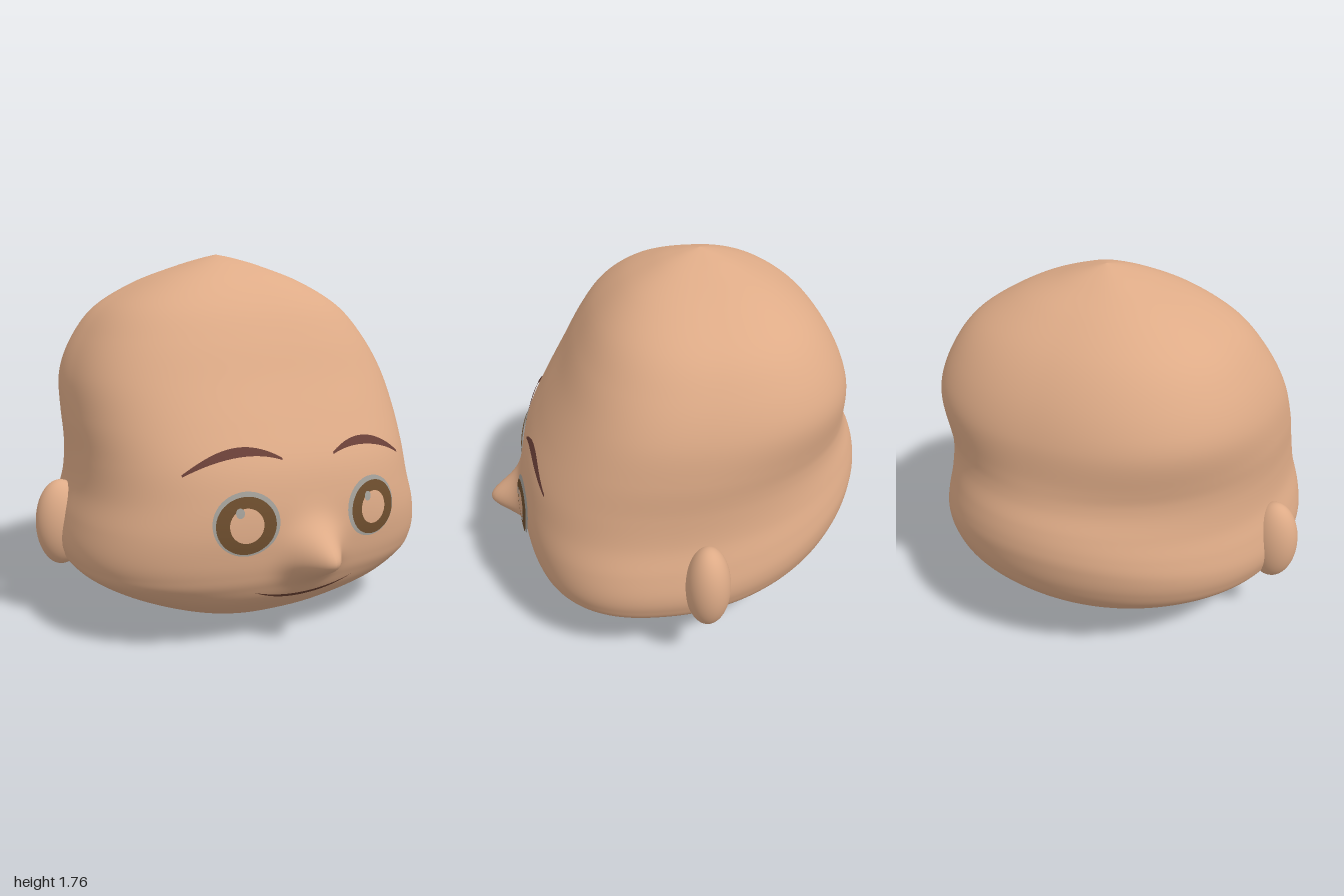
import * as THREE from 'three';

const mat = (name, color, side = THREE.FrontSide) => {
  const m = new THREE.MeshStandardMaterial({ color, side });
  m.name = name;
  return m;
};

// Head rings, bottom to top: height, half width, z of widest point, front z, height at back, back z
const RINGS = [
  [0, 0, 0.08, 0.08, 0, 0.08],
  [0.02, 0.13, 0.08, 0.26, 0.015, -0.06],
  [0.05, 0.33, 0.08, 0.42, 0.04, -0.26],
  [0.1, 0.5, 0.08, 0.53, 0.1, -0.42],
  [0.2, 0.72, 0.09, 0.67, 0.24, -0.69],
  [0.29, 0.86, 0.1, 0.73, 0.4, -0.86],
  [0.36, 0.9, 0.1, 0.755, 0.53, -0.93],
  [0.44, 0.91, 0.1, 0.77, 0.65, -0.955],
  [0.55, 0.89, 0.1, 0.78, 0.73, -0.952],
  [0.68, 0.855, 0.08, 0.772, 0.81, -0.93],
  [0.83, 0.842, 0.05, 0.735, 0.9, -0.89],
  [1.0, 0.84, 0, 0.65, 1.0, -0.868],
  [1.18, 0.815, -0.05, 0.55, 1.18, -0.845],
  [1.35, 0.74, -0.1, 0.46, 1.35, -0.775],
  [1.5, 0.62, -0.13, 0.36, 1.5, -0.66],
  [1.62, 0.42, -0.14, 0.23, 1.62, -0.5],
  [1.7, 0.21, -0.14, 0.08, 1.7, -0.33],
  [1.74, 0.08, -0.14, -0.04, 1.74, -0.22],
  [1.76, 0, -0.14, -0.14, 1.76, -0.14],
];
const spline = (i) => new THREE.CatmullRomCurve3(
  RINGS.map((r) => new THREE.Vector3(r[i], r[i + 1], r[i + 2])), false, 'catmullrom', 0.5);
const sideCurve = spline(0), depthCurve = spline(3);
const FRONT_POWER = 2.6;

// Pointed nose raised from the face
const nose = (x, y) => {
  const dy = (y - 0.42) / (y > 0.42 ? 0.085 : 0.068);
  return 0.187 * Math.exp(-0.5 * ((x / 0.08) ** 2 + dy * dy));
};

// Depth of the face at a given x and y
function faceZ(x, y) {
  let lo = 0, hi = 1;
  for (let i = 0; i < 30; i++) {
    const mid = (lo + hi) / 2;
    if (sideCurve.getPoint(mid).y !== undefined && sideCurve.getPoint(mid).x < y) lo = mid; else hi = mid;
  }
  const s = sideCurve.getPoint(lo), d = depthCurve.getPoint(lo);
  const k = Math.min(1, Math.abs(x / s.y));
  return s.z + (d.x - s.z) * (1 - k ** FRONT_POWER) ** (1 / FRONT_POWER) + nose(x, y);
}

function headGeometry(rows = 150, cols = 280) {
  const pos = [], index = [];
  for (let j = 0; j <= rows; j++) {
    const s = sideCurve.getPoint(j / rows), d = depthCurve.getPoint(j / rows);
    const [h, w, c] = [s.x, Math.max(0, s.y), s.z];
    const backPower = 2 + 0.4 * THREE.MathUtils.smoothstep(h, 0.9, 1.25);
    for (let i = 0; i < cols; i++) {
      const a = (i / cols) * Math.PI * 2, ca = Math.cos(a), sa = Math.sin(a);
      const p = sa > 0 ? FRONT_POWER : backPower;
      const r = (Math.abs(ca) ** p + Math.abs(sa) ** p) ** (-1 / p);
      const x = w * r * ca, f = r * sa;
      if (f > 0) pos.push(x, h, c + (d.x - c) * f + nose(x, h));
      else pos.push(x, h + (d.y - h) * f * f, c + (c - d.z) * f);
      if (j < rows) {
        const n = (i + 1) % cols, b = j * cols;
        index.push(b + i, b + cols + i, b + n, b + n, b + cols + i, b + cols + n);
      }
    }
  }
  const g = new THREE.BufferGeometry();
  g.setAttribute('position', new THREE.Float32BufferAttribute(pos, 3));
  g.setIndex(index);
  g.computeVertexNormals();
  return g;
}

// Thin sheet lying on the face; at(u, v) gives its x and y
function facePatch(name, material, lift, nu, nv, at) {
  const g = new THREE.PlaneGeometry(1, 1, nu, nv), p = g.attributes.position;
  for (let i = 0; i < p.count; i++) {
    const [x, y] = at(p.getX(i) + 0.5, p.getY(i) + 0.5);
    p.setXYZ(i, x, y, faceZ(x, y) + lift);
  }
  g.computeVertexNormals();
  const m = new THREE.Mesh(g, material);
  m.name = name;
  return m;
}

const ring = (name, material, lift, cx, cy, inner, rx, ry) =>
  facePatch(name, material, lift, 48, 4, (u, v) => {
    const a = -u * Math.PI * 2;
    return [cx + Math.cos(a) * THREE.MathUtils.lerp(inner, rx, v),
      cy + Math.sin(a) * THREE.MathUtils.lerp(inner, ry, v)];
  });

export function createModel() {
  const skin = mat('skin', 0xdeab87);
  const iris = mat('irisBrown', 0x6e4e2e, THREE.DoubleSide);
  const eyeGrey = mat('eyeGrey', 0xa5a29b, THREE.DoubleSide);
  const brow = mat('browBrown', 0x6a4038, THREE.DoubleSide);
  const lip = mat('mouthBrown', 0x6b4233, THREE.DoubleSide);

  const model = new THREE.Group();
  model.name = 'head';
  const skull = new THREE.Mesh(headGeometry(), skin);
  skull.name = 'skullAndNose';
  model.add(skull);

  for (const s of [1, -1]) {
    const side = s > 0 ? 'left' : 'right';

    // Ear
    const ear = new THREE.Mesh(new THREE.SphereGeometry(1, 40, 28), skin);
    ear.scale.set(0.12, 0.207, 0.105);
    ear.position.set(s * 0.88, 0.482, -0.075);
    ear.name = side + 'Ear';
    model.add(ear);

    // Eye: grey rim, brown iris ring, small highlight
    const eye = new THREE.Group();
    eye.name = side + 'Eye';
    eye.add(
      ring('eyeRim', eyeGrey, 0.012, s * 0.33, 0.602, 0.1, 0.15, 0.14),
      ring('iris', iris, 0.018, s * 0.335, 0.597, 0.076, 0.134, 0.125),
      ring('highlight', eyeGrey, 0.023, s * 0.33 - 0.036, 0.655, 0, 0.019, 0.022));
    model.add(eye);

    // Arched eyebrow, tapering to both ends
    const arch = new THREE.QuadraticBezierCurve(
      new THREE.Vector2(0.135, 0.86), new THREE.Vector2(0.34, 0.96), new THREE.Vector2(0.575, 0.812));
    model.add(facePatch(side + 'Eyebrow', brow, 0.008, 32, 3, (u, v) => {
      const p = arch.getPoint(u);
      const t = 0.01 + 0.03 * Math.sin(Math.PI * u);
      return [s * p.x, p.y + (v - 0.5) * t];
    }));
  }

  // Thin smiling mouth
  model.add(facePatch('mouth', lip, 0.006, 48, 2, (u, v) => {
    const k = u * 2 - 1;
    return [k * 0.265, 0.216 + 0.054 * k * k + (v - 0.5) * 0.017 * (1 - k * k)];
  }));
  return model;
}
